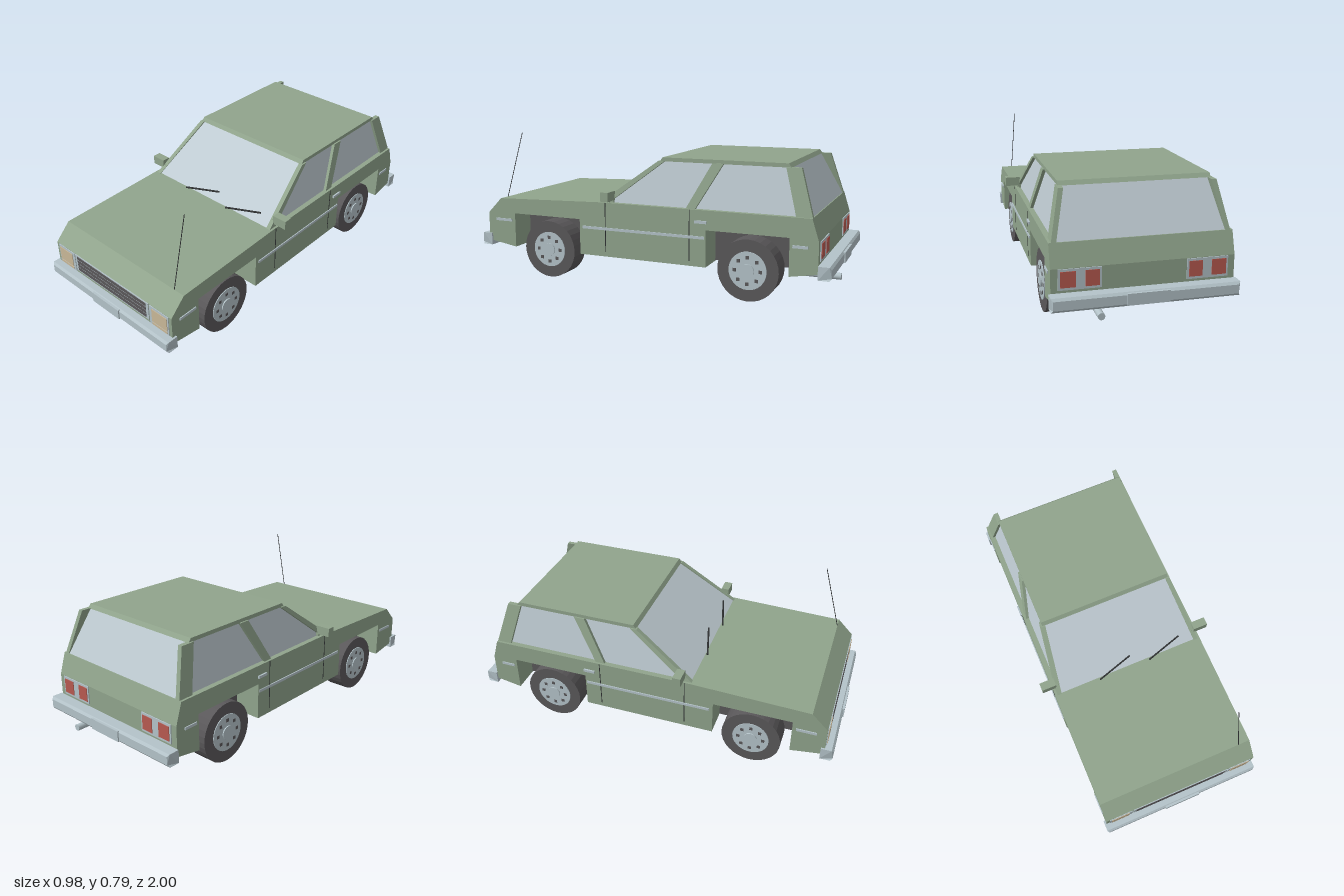
import * as THREE from 'three';

const mat = (name, color) => Object.assign(new THREE.MeshStandardMaterial({ color }), { name });

export function createModel() {
  const car = new THREE.Group();
  car.name = 'stationWagon';
  const green = mat('sage green paint', 0x90a48c);
  const glass = mat('pale glass', 0xbecad1);
  const chrome = mat('light metal', 0xb4c3c9);
  const dark = mat('dark grey rubber', 0x5a585a);
  const black = mat('black trim', 0x303233);
  const amber = mat('amber lamp', 0xc9b899);
  const red = mat('red lamp', 0xb85a50);

  const add = (name, geo, material, x = 0, y = 0, z = 0, parent = car) => {
    const m = new THREE.Mesh(geo, material);
    m.name = name;
    m.position.set(x, y, z);
    parent.add(m);
    return m;
  };
  // box given by its limits
  const box = (name, material, x0, x1, y0, y1, z0, z1) =>
    add(name, new THREE.BoxGeometry(x1 - x0, y1 - y0, z1 - z0), material,
      (x0 + x1) / 2, (y0 + y1) / 2, (z0 + z1) / 2);
  // side profile of [z, y] points swept across x, centred on x = 0
  const sweep = (points, width, rule) => {
    const shape = new THREE.Shape(points.map(p => new THREE.Vector2(...p)));
    const geo = new THREE.ExtrudeGeometry(shape, { depth: width, bevelEnabled: false });
    geo.rotateY(-Math.PI / 2).translate(width / 2, 0, 0);
    if (rule) {
      const p = geo.attributes.position;
      for (let i = 0; i < p.count; i++) p.setX(i, rule(p.getX(i), p.getY(i), p.getZ(i)));
      geo.computeVertexNormals();
    }
    return geo;
  };
  // round rod between two points
  const rod = (name, material, a, b, r, sides = 6) => {
    const p = new THREE.Vector3(...a), q = new THREE.Vector3(...b);
    const m = add(name, new THREE.CylinderGeometry(r, r, p.distanceTo(q), sides), material);
    m.position.copy(p).add(q).multiplyScalar(0.5);
    m.quaternion.setFromUnitVectors(new THREE.Vector3(0, 1, 0), q.sub(p).normalize());
    return m;
  };

  // lower body with square wheel arches
  add('body', sweep([
    [0.86, 0.425], [0.23, 0.445], [-0.89, 0.445], [-0.925, 0.335], [-0.925, 0.18],
    [-0.785, 0.155], [-0.785, 0.345], [-0.363, 0.345], [-0.363, 0.155],
    [0.355, 0.155], [0.355, 0.345], [0.77, 0.345], [0.77, 0.155],
    [0.93, 0.18], [0.945, 0.22], [0.945, 0.34],
  ], 0.866), green);
  box('frontArchLining', dark, -0.29, 0.29, 0.16, 0.344, 0.356, 0.769);
  box('rearArchLining', dark, -0.29, 0.29, 0.16, 0.344, -0.784, -0.364);

  // cabin glass, narrowing towards the roof
  add('windows', sweep([[0.23, 0.445], [-0.095, 0.672], [-0.765, 0.672], [-0.885, 0.445]], 0.81,
    (x, y) => x * (1 - 0.53 * (y - 0.445))), glass);
  add('roof', sweep([[-0.085, 0.67], [-0.1, 0.69], [-0.755, 0.69], [-0.77, 0.67]], 0.73), green);

  // pillars, leaning in with the glass
  const pillars = {
    frontPillar: [[0.235, 0.445], [0.185, 0.445], [-0.115, 0.672], [-0.08, 0.672]],
    middlePillar: [[-0.25, 0.445], [-0.30, 0.445], [-0.43, 0.672], [-0.372, 0.672]],
    rearPillar: [[-0.81, 0.445], [-0.89, 0.445], [-0.82, 0.672], [-0.745, 0.672]],
  };
  for (const [name, pts] of Object.entries(pillars))
    for (const s of [-1, 1])
      add(name, sweep(pts, 0.024, (x, y) => x + s * (0.409 - 0.21 * (y - 0.445))), green);

  // bumpers with chamfered edges
  for (const s of [-1, 1]) {
    const name = s > 0 ? 'frontBumper' : 'rearBumper';
    const pts = [[0.925, 0.155], [0.98, 0.155], [0.99, 0.167], [0.99, 0.21], [0.98, 0.222], [0.925, 0.222]];
    const bumper = add(name, sweep(pts, 0.885, (x, y, z) => z > 0.985 ? x * 0.98 : x), chrome);
    if (s < 0) bumper.rotation.y = Math.PI;
    const z = s * 0.99;
    box(name + 'Plate', chrome, -0.1, 0.1, 0.162, 0.218, z - 0.006, z + 0.006);
  }

  // grille
  box('grillePanel', chrome, -0.277, 0.277, 0.238, 0.34, 0.94, 0.949);
  for (let i = 0; i < 4; i++) {
    const y = 0.247 + i * 0.023;
    box('grilleSlot', dark, -0.26, 0.26, y, y + 0.018, 0.946, 0.951);
  }
  // lamps and side details, both sides
  const span = (name, material, s, a, b, ...rest) =>
    box(name, material, Math.min(s * a, s * b), Math.max(s * a, s * b), ...rest);
  for (const s of [-1, 1]) {
    span('headlightSurround', chrome, s, 0.284, 0.414, 0.226, 0.338, 0.94, 0.949);
    span('headlight', amber, s, 0.302, 0.405, 0.25, 0.326, 0.945, 0.952);
    span('indicator', amber, s, 0.302, 0.405, 0.231, 0.244, 0.945, 0.952);
    span('tailLightSurround', chrome, s, 0.2, 0.4, 0.235, 0.333, -0.93, -0.921);
    span('tailLightOuter', red, s, 0.32, 0.39, 0.247, 0.322, -0.933, -0.926);
    span('tailLightInner', red, s, 0.21, 0.275, 0.247, 0.322, -0.933, -0.926);
    for (const [z0, z1] of [[0.79, 0.895], [-0.355, 0.335], [-0.875, -0.80]])
      span('sideStripe', chrome, s, 0.43, 0.438, 0.298, 0.312, z0, z1);
    span('doorHandle', chrome, s, 0.43, 0.442, 0.378, 0.392, -0.367, -0.305);
    for (const z of [0.2, -0.275])
      span('doorSeam', black, s, 0.43, 0.4345, 0.18, 0.443, z - 0.002, z + 0.002);
    span('mirror', green, s, 0.41, 0.49, 0.46, 0.508, 0.153, 0.197);
    span('mirrorMount', green, s, 0.395, 0.415, 0.44, 0.48, 0.16, 0.19);
  }

  // wheels: tyre, rim, hub and bolts, built along x
  const disc = (r, w, sides) => {
    const g = new THREE.CylinderGeometry(r, r, w, sides).rotateZ(Math.PI / 2).toNonIndexed();
    g.computeVertexNormals();
    return g;
  };
  for (const s of [-1, 1])
    for (const z of [0.56, -0.576]) {
      const wheel = new THREE.Group();
      wheel.name = z > 0 ? 'frontWheel' : 'rearWheel';
      wheel.position.set(s * 0.357, 0.157, z);
      car.add(wheel);
      add('tyre', disc(0.157, 0.114, 32), dark, 0, 0, 0, wheel);
      add('rim', disc(0.097, 0.01, 32), chrome, s * 0.056, 0, 0, wheel);
      add('hub', disc(0.035, 0.012, 20), chrome, s * 0.061, 0, 0, wheel);
      for (let i = 0; i < 8; i++) {
        const a = i * Math.PI / 4;
        add('rimHole', new THREE.BoxGeometry(0.006, 0.017, 0.017), dark,
          s * 0.06, 0.067 * Math.sin(a), 0.067 * Math.cos(a), wheel);
      }
    }

  // wipers, antenna and exhaust
  for (const x of [-0.175, 0.12])
    rod('wiper', black, [x, 0.452, 0.245], [x + 0.2, 0.482, 0.19], 0.005);
  rod('antenna', black, [0.369, 0.42, 0.86], [0.353, 0.79, 0.757], 0.002);
  rod('exhaust', chrome, [0.22, 0.125, -0.78], [0.22, 0.125, -1], 0.017, 16);
  return car;
}
